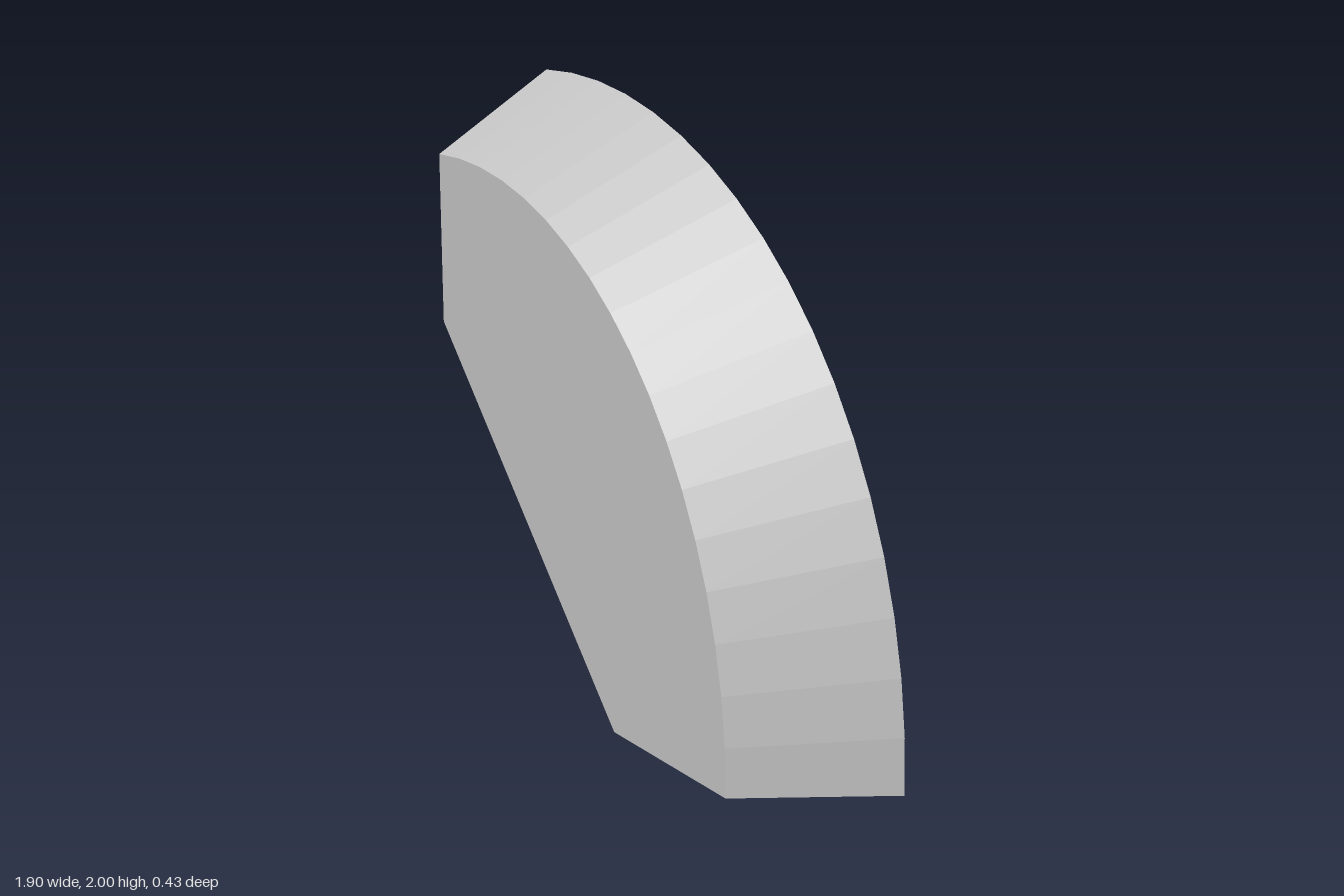
import * as THREE from 'three';

// Cross-section: a quarter ellipse closed by a slanted cut across its corner
function section(rx, ry, z, segments) {
  const points = [];
  for (let i = 0; i <= segments; i++) {
    const a = (i / segments) * Math.PI / 2;
    points.push([-0.95 + rx * Math.cos(a), ry * Math.sin(a), z]);
  }
  points.push([-0.95, 1.15, z], [0.1, 0, z]);
  return points;
}

export function createModel() {
  const grey = new THREE.MeshStandardMaterial({ color: 0xbfbfbf });
  grey.name = 'light grey';
  grey.flatShading = true;

  const front = section(1.62, 1.725, 0.215, 18);
  const back = section(1.9, 2, -0.215, 18);
  const n = front.length;
  const positions = [];
  const triangle = (a, b, c) => positions.push(...a, ...b, ...c);

  // Side walls: bevelled arc, end faces and slanted cut
  for (let i = 0; i < n; i++) {
    const j = (i + 1) % n;
    triangle(front[i], back[i], back[j]);
    triangle(front[i], back[j], front[j]);
  }
  // Flat caps, fanned from the last corner
  for (let i = 0; i < n - 2; i++) {
    triangle(front[n - 1], front[i], front[i + 1]);
    triangle(back[n - 1], back[i + 1], back[i]);
  }

  const geometry = new THREE.BufferGeometry();
  geometry.setAttribute('position', new THREE.Float32BufferAttribute(positions, 3));
  geometry.computeVertexNormals();

  const block = new THREE.Mesh(geometry, grey);
  block.name = 'bevelledQuarterBlock';
  const group = new THREE.Group();
  group.name = 'curvedCornerBlock';
  group.add(block);
  return group;
}
